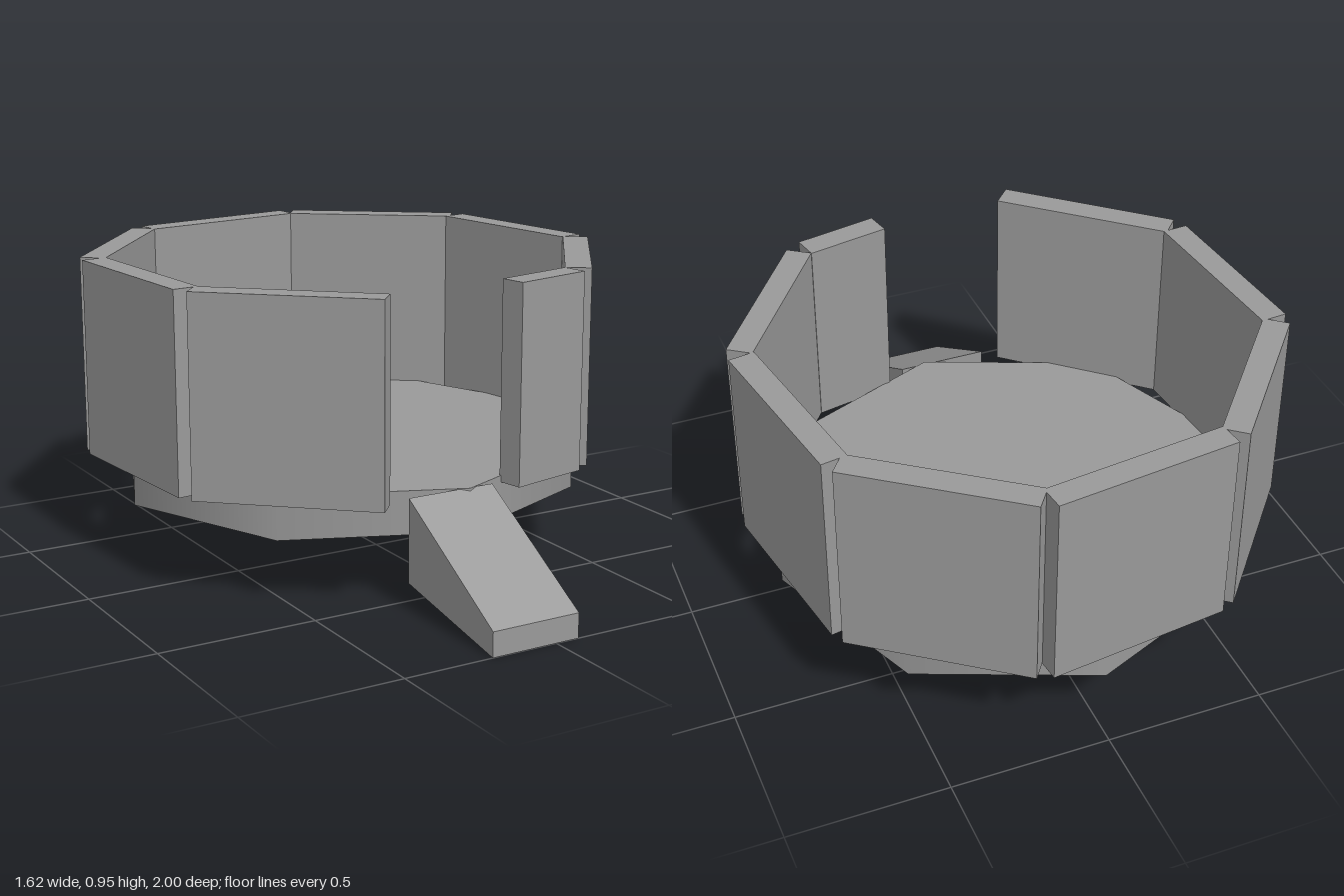
import * as THREE from 'three';

const material = new THREE.MeshStandardMaterial({ color: 0x999999 });
const WALL_BOTTOM = 0.322, WALL_TOP = 0.948, WALL_THICKNESS = 0.082;

// Upright slab between two points of the ground plan (x, z)
function wallPanel(name, [x1, z1, x2, z2]) {
  const length = Math.hypot(x2 - x1, z2 - z1);
  const mesh = new THREE.Mesh(
    new THREE.BoxGeometry(length, WALL_TOP - WALL_BOTTOM, WALL_THICKNESS), material);
  mesh.name = name;
  mesh.position.set((x1 + x2) / 2, (WALL_BOTTOM + WALL_TOP) / 2, (z1 + z2) / 2);
  mesh.rotation.y = -Math.atan2(z2 - z1, x2 - x1);
  return mesh;
}

export function createModel() {
  const model = new THREE.Group();
  model.name = 'walledArena';

  // Eight-sided floor with a smooth rim, one corner facing the ramp
  const floor = new THREE.Mesh(new THREE.CylinderGeometry(0.753, 0.753, 0.137, 8), material);
  floor.name = 'floor';
  floor.position.set(-0.009, 0.2745, -0.188);
  model.add(floor);

  // Ring of wall panels, open at the front
  const plan = {
    backWall: [-0.382, -0.89, 0.19, -0.96],
    backLeftWall: [0.207, -0.953, 0.669, -0.608],
    leftWall: [0.672, -0.593, 0.769, -0.023],
    frontLeftWall: [0.768, 0.002, 0.439, 0.468],
    shortEntranceWall: [0.15, 0.537, 0.414, 0.482],
    frontRightWall: [-0.72, 0.172, -0.29, 0.557],
    rightWall: [-0.772, -0.422, -0.726, 0.152],
    backRightWall: [-0.4, -0.884, -0.77, -0.441],
  };
  const walls = new THREE.Group();
  walls.name = 'walls';
  for (const [name, ends] of Object.entries(plan)) walls.add(wallPanel(name, ends));
  model.add(walls);

  // Entrance ramp: side profile drawn in (-z, y), extruded across x
  const profile = new THREE.Shape([[-1, 0], [-0.553, 0.079], [-0.553, 0.341], [-1, 0.077]]
    .map(([u, y]) => new THREE.Vector2(u, y)));
  const rampGeometry = new THREE.ExtrudeGeometry(profile, { depth: 0.292, bevelEnabled: false });
  rampGeometry.rotateY(Math.PI / 2);
  const ramp = new THREE.Mesh(rampGeometry, material);
  ramp.name = 'ramp';
  ramp.position.x = -0.215;
  model.add(ramp);

  return model;
}
